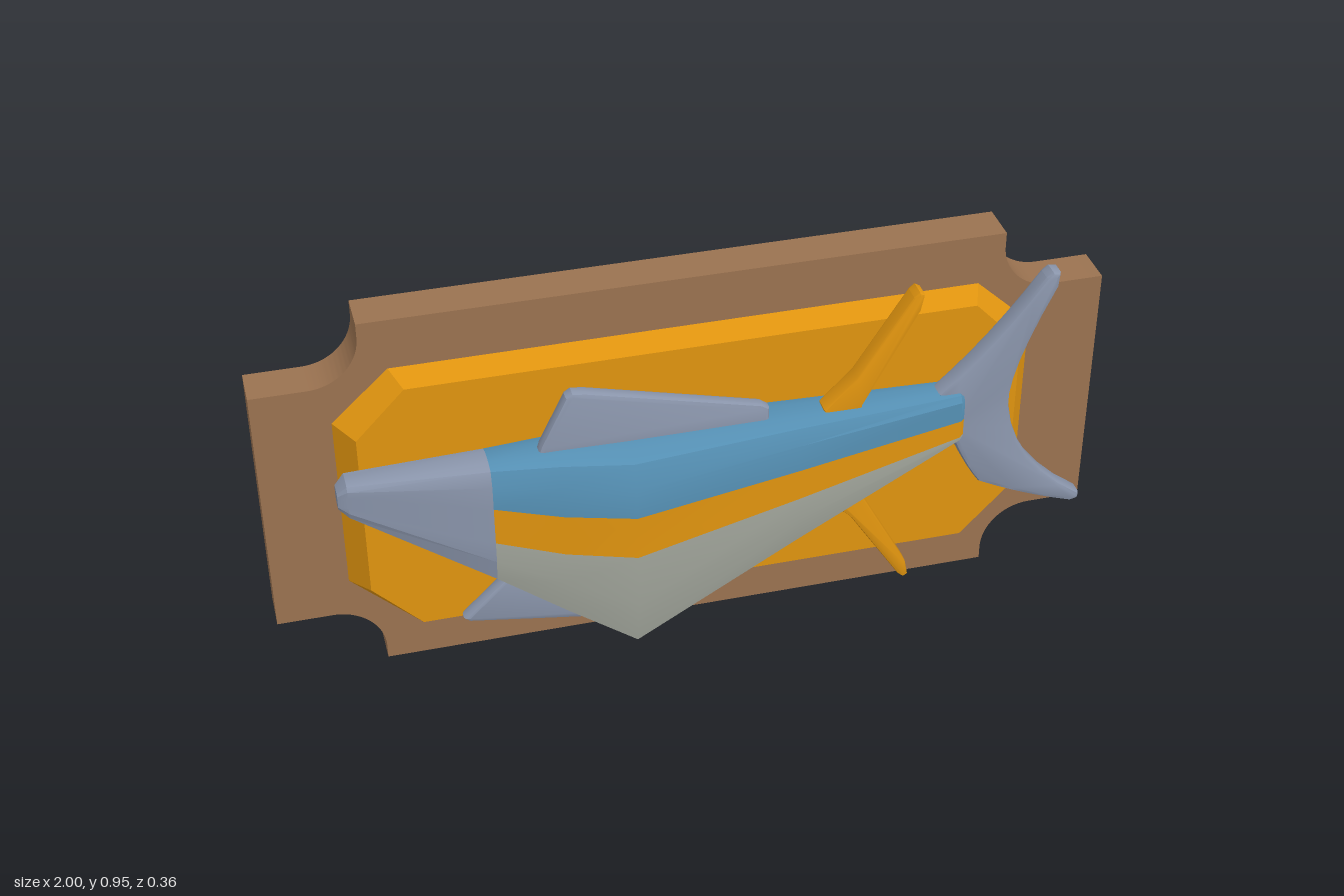
import * as THREE from 'three';
import { toCreasedNormals } from 'three/addons/utils/BufferGeometryUtils.js';
import { ConvexGeometry } from 'three/addons/geometries/ConvexGeometry.js';

const material = (name, color) => {
  const m = new THREE.MeshStandardMaterial({ color });
  m.name = name;
  return m;
};

export function createModel() {
  const wood = material('wood brown', 0x9a7250);
  const gold = material('golden orange', 0xe0940f);
  const blue = material('back blue', 0x5590b4);
  const slate = material('fin slate', 0x8a95ab);
  const pale = material('belly grey', 0xa2a69c);

  const model = new THREE.Group();
  model.name = 'mountedFish';
  const add = (name, geometry, mat) => {
    const mesh = new THREE.Mesh(toCreasedNormals(geometry, 0.45), mat);
    mesh.name = name;
    model.add(mesh);
    return mesh;
  };

  // Wooden board with scooped corners
  const H = 0.95, W = 1, nx = 0.75, ny = 0.155, r = 0.12, q = Math.PI / 2;
  const board = new THREE.Shape();
  board.moveTo(-nx, 0);
  board.lineTo(nx, 0);
  board.absarc(nx + r, ny - r, r, Math.PI, q, true);
  board.lineTo(W, ny);
  board.lineTo(W, H - ny);
  board.absarc(nx + r, H - ny + r, r, -q, -Math.PI, true);
  board.lineTo(nx, H);
  board.lineTo(-nx, H);
  board.absarc(-nx - r, H - ny + r, r, 0, -q, true);
  board.lineTo(-W, H - ny);
  board.lineTo(-W, ny);
  board.absarc(-nx - r, ny - r, r, q, 0, true);
  board.closePath();
  const boardGeo = new THREE.ExtrudeGeometry(board, { depth: 0.1, bevelEnabled: false, curveSegments: 14 });
  add('board', boardGeo.translate(0, 0, -0.18), wood);

  // Raised plaque: chamfered outline with sloping sides
  const plaquePoints = [];
  for (const [x, y, cx, cy, z] of [[0.825, 0.35, 0.69, 0.225, -0.082], [0.78, 0.332, 0.665, 0.212, -0.015]])
    for (const sx of [-1, 1])
      for (const sy of [-1, 1])
        plaquePoints.push(
          new THREE.Vector3(sx * x, 0.475 + sy * cy, z),
          new THREE.Vector3(sx * cx, 0.475 + sy * y, z));
  add('plaque', new ConvexGeometry(plaquePoints), gold);

  // Fish body cross-sections: x, top, bottom, half width, stripe top, stripe bottom
  const zMid = 0.07;
  const sections = [
    [-0.842, 0.63, 0.585, 0.022],
    [-0.82, 0.653, 0.56, 0.034],
    [-0.505, 0.655, 0.32, 0.057, 0.55, 0.455],
    [-0.35, 0.655, 0.2, 0.078, 0.514, 0.408],
    [-0.19, 0.652, 0.09, 0.11, 0.502, 0.39],
    [0.2, 0.652, 0.3, 0.073, 0.535, 0.455],
    [0.595, 0.65, 0.515, 0.042, 0.58, 0.535],
    [0.605, 0.64, 0.525, 0.034, 0.58, 0.538],
  ];
  const rings = sections.map(([x, top, bot, w, s1, s2]) => {
    const h = top - bot;
    const up = s1 ?? top - 0.3 * h, low = s2 ?? top - 0.6 * h;
    const side = Math.min(bot + 0.285 * h, bot + 0.6 * (low - bot));
    const half = [[0.36, top], [0.8, top - 0.027 * h], [1, top - 0.135 * h], [1, up],
      [1, low], [1, side], [0.8, bot + 0.07 * h]];
    return [
      ...half.map(([k, y]) => [x, y, zMid + k * w]),
      [x, bot, zMid],
      ...half.reverse().map(([k, y]) => [x, y, zMid - k * w]),
    ];
  });
  const parts = { head: [], back: [], stripe: [], belly: [] };
  const n = rings[0].length;
  for (let i = 0; i < rings.length - 1; i++)
    for (let j = 0; j < n; j++) {
      const k = (j + 1) % n, band = Math.min(j, 13 - j);
      const part = i < 2 ? 'head' : band < 3 ? 'back' : band === 3 ? 'stripe' : 'belly';
      const [a, b, c, d] = [rings[i][j], rings[i + 1][j], rings[i][k], rings[i + 1][k]];
      parts[part].push(...a, ...c, ...b, ...b, ...c, ...d);
    }
  // Nose and tail-root caps
  const first = rings[0], last = rings[rings.length - 1];
  for (let j = 1; j < n - 1; j++) {
    parts.head.push(...first[0], ...first[j + 1], ...first[j]);
    parts.back.push(...last[0], ...last[j], ...last[j + 1]);
  }
  const bodyMaterials = { head: slate, back: blue, stripe: gold, belly: pale };
  for (const [name, points] of Object.entries(parts)) {
    const geometry = new THREE.BufferGeometry();
    geometry.setAttribute('position', new THREE.Float32BufferAttribute(points, 3));
    add(name, geometry, bodyMaterials[name]);
  }

  // Fins: bevelled slabs centred on the fish's middle plane
  const fin = (name, shape, thickness, bevel, mat) => {
    const geometry = new THREE.ExtrudeGeometry(shape, {
      depth: thickness - 2 * bevel, bevelThickness: bevel, bevelSize: bevel,
      bevelOffset: -bevel, bevelSegments: 2, curveSegments: 6,
    });
    return add(name, geometry.translate(0, 0, zMid - thickness / 2 + bevel), mat);
  };
  const polygon = points => new THREE.Shape(points.map(([x, y]) => new THREE.Vector2(x, y)));

  const tail = new THREE.Shape();
  tail.moveTo(0.545, 0.65);
  tail.quadraticCurveTo(0.67, 0.76, 0.785, 0.925);
  tail.lineTo(0.8, 0.937);
  tail.lineTo(0.818, 0.935);
  tail.lineTo(0.815, 0.9);
  tail.quadraticCurveTo(0.71, 0.68, 0.72, 0.59);
  tail.quadraticCurveTo(0.74, 0.42, 0.922, 0.297);
  tail.lineTo(0.92, 0.282);
  tail.lineTo(0.9, 0.277);
  tail.quadraticCurveTo(0.78, 0.315, 0.66, 0.38);
  tail.quadraticCurveTo(0.61, 0.45, 0.575, 0.55);
  tail.closePath();
  fin('tailFin', tail, 0.05, 0.01, slate);

  fin('dorsalFin', polygon([[-0.4, 0.62], [-0.385, 0.67], [-0.325, 0.79], [-0.31, 0.8], [-0.28, 0.796],
    [0.125, 0.692], [0.142, 0.68], [0.142, 0.62]]), 0.036, 0.01, slate);
  fin('bellyFin', polygon([[-0.583, 0.215], [-0.47, 0.325], [-0.2, 0.34], [-0.2, 0.155],
    [-0.31, 0.163], [-0.57, 0.205]]), 0.036, 0.01, slate);

  // Swept rear fins, mirrored above and below the body
  const swept = [[0.27, 0.62], [0.27, 0.655], [0.345, 0.73], [0.47, 0.925], [0.483, 0.937],
    [0.495, 0.93], [0.487, 0.89], [0.36, 0.655], [0.36, 0.62]];
  fin('upperRearFin', polygon(swept), 0.05, 0.006, gold);
  fin('lowerRearFin', polygon(swept.map(([x, y]) => [x, 1.065 - y])), 0.05, 0.006, gold);

  return model;
}
